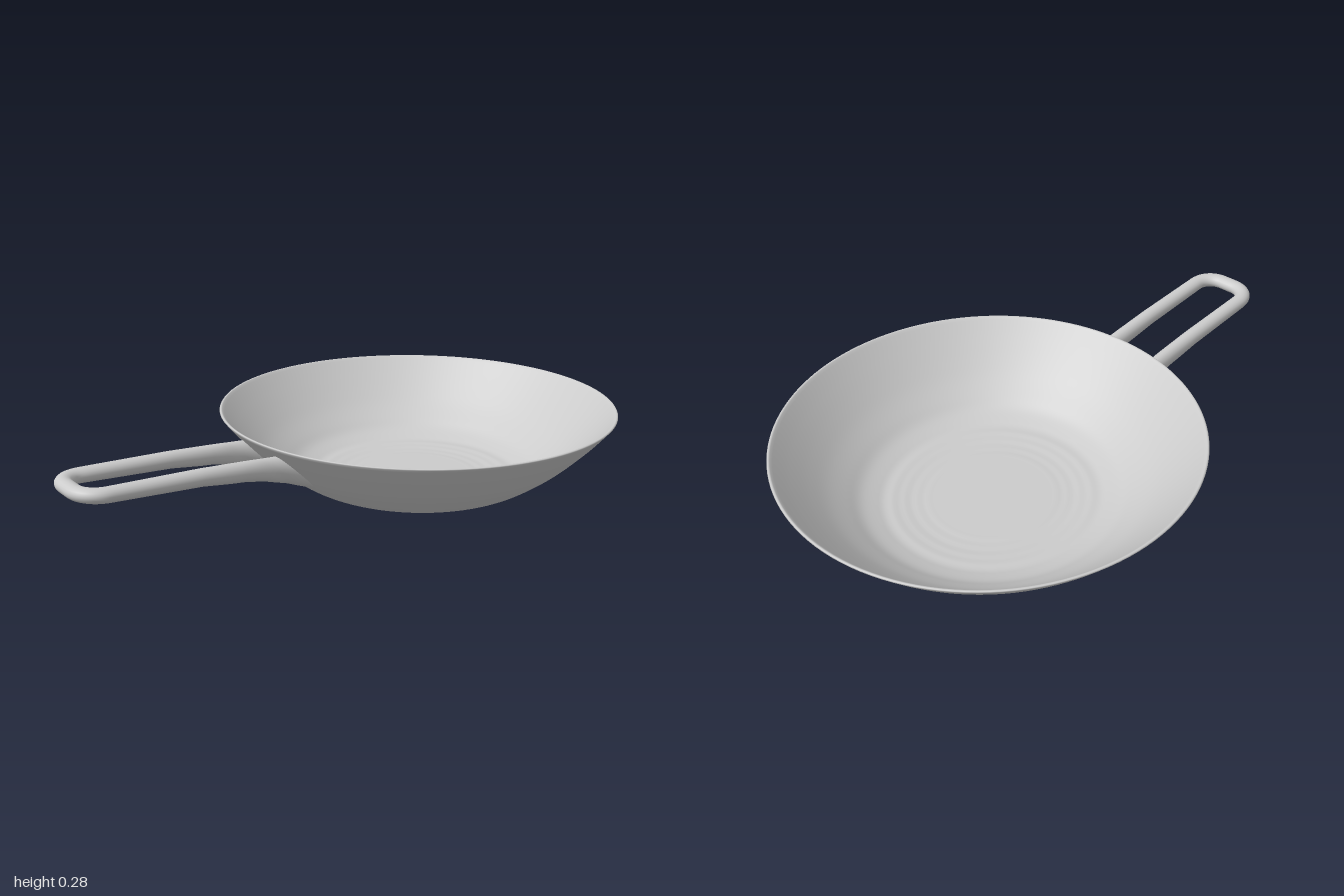
import * as THREE from 'three';
import { mergeVertices } from 'three/addons/utils/BufferGeometryUtils.js';

const CX = 0.315; // bowl axis
const material = new THREE.MeshStandardMaterial({ color: 0xcccccc });
const { lerp, smoothstep } = THREE.MathUtils;

// Linear interpolation in a short list of [x, value] pairs
function lookup(table, x) {
  if (x <= table[0][0]) return table[0][1];
  for (let i = 1; i < table.length; i++) {
    const [x0, v0] = table[i - 1], [x1, v1] = table[i];
    if (x <= x1) return lerp(v0, v1, (x - x0) / (x1 - x0));
  }
  return table[table.length - 1][1];
}

function smoothProfile(points, count) {
  return new THREE.SplineCurve(points.map(([r, y]) => new THREE.Vector2(r, y))).getSpacedPoints(count);
}

// Outer and inner faces of the bowl, both from the foot to the rim
const outer = smoothProfile([[0.34, 0.004], [0.39, 0.02], [0.43, 0.04], [0.475, 0.07],
  [0.53, 0.112], [0.58, 0.158], [0.635, 0.214], [0.685, 0.272]], 40);
const inner = smoothProfile([[0.36, 0.024], [0.42, 0.046], [0.465, 0.076],
  [0.52, 0.118], [0.57, 0.164], [0.625, 0.22], [0.675, 0.274]], 40);

function makeBowl() {
  const points = [new THREE.Vector2(0, 0), new THREE.Vector2(0.25, 0), new THREE.Vector2(0.3, 0.001), ...outer];
  points.push(new THREE.Vector2(0.683, 0.275), new THREE.Vector2(0.679, 0.276));
  points.push(...inner.slice().reverse());
  // Floor with faint turned rings
  for (let r = 0.35; r > 0; r -= 0.01) {
    const ripple = r > 0.2 ? 0.0007 * Math.sin(r * 160) : 0;
    points.push(new THREE.Vector2(r, 0.016 + 0.007 * smoothstep(r, 0.24, 0.36) + ripple));
  }
  points.push(new THREE.Vector2(0, 0.016));
  const bowl = new THREE.Mesh(new THREE.LatheGeometry(points, 128), material);
  bowl.position.x = CX;
  bowl.name = 'bowl';
  return bowl;
}

function makeHandle() {
  const radius = 0.028, end = -0.972, z = 0.099, start = -0.33, bend = 0.075;
  const v = (x, zz) => new THREE.Vector3(x, 0, zz);
  const k = bend * 0.42;
  // Flat U-shaped path with rounded corners
  const path = new THREE.CurvePath();
  path.add(new THREE.LineCurve3(v(start, z), v(end + bend, z)));
  path.add(new THREE.CubicBezierCurve3(v(end + bend, z), v(end + k, z), v(end, z - k), v(end, z - bend)));
  path.add(new THREE.LineCurve3(v(end, z - bend), v(end, bend - z)));
  path.add(new THREE.CubicBezierCurve3(v(end, bend - z), v(end, k - z), v(end + k, -z), v(end + bend, -z)));
  path.add(new THREE.LineCurve3(v(end + bend, -z), v(start, -z)));

  let geometry = new THREE.TubeGeometry(path, 220, radius, 20, false);
  const topLine = [[-1, 0.27], [-0.6, 0.256], [-0.42, 0.245], [start, 0.238]];
  const bottomLine = [[-1, 0.225], [-0.6, 0.2], [-0.46, 0.181], [-0.415, 0.167], [-0.37, 0.142], [start, 0.1]];
  const wall = outer.map((p) => [p.y, p.x]);
  const pos = geometry.attributes.position;
  for (let i = 0; i < pos.count; i++) {
    const x = pos.getX(i), z0 = pos.getZ(i);
    // Tilt the loop and deepen it towards the bowl
    const y = lerp(lookup(bottomLine, x), lookup(topLine, x), (pos.getY(i) / radius + 1) / 2);
    // Widen the root slightly
    const flare = 1 + 0.35 * smoothstep(x, -0.39, start);
    const legZ = Math.sign(z0) * z;
    const zz = x > -0.5 ? legZ + (z0 - legZ) * flare : z0;
    // Draw the root onto the curved wall
    const t = THREE.MathUtils.clamp((x + 0.5) / (start + 0.5), 0, 1);
    const r = lookup(wall, y) - 0.006;
    const wallX = CX - Math.sqrt(r * r - zz * zz);
    pos.setXYZ(i, x + t * (wallX - start), y, zz - 0.004);
  }
  geometry.deleteAttribute('uv');
  geometry.deleteAttribute('normal');
  geometry = mergeVertices(geometry, 1e-5);
  geometry.computeVertexNormals();
  const handle = new THREE.Mesh(geometry, material);
  handle.name = 'loopHandle';
  return handle;
}

export function createModel() {
  const group = new THREE.Group();
  group.name = 'pan';
  group.add(makeBowl(), makeHandle());
  return group;
}
